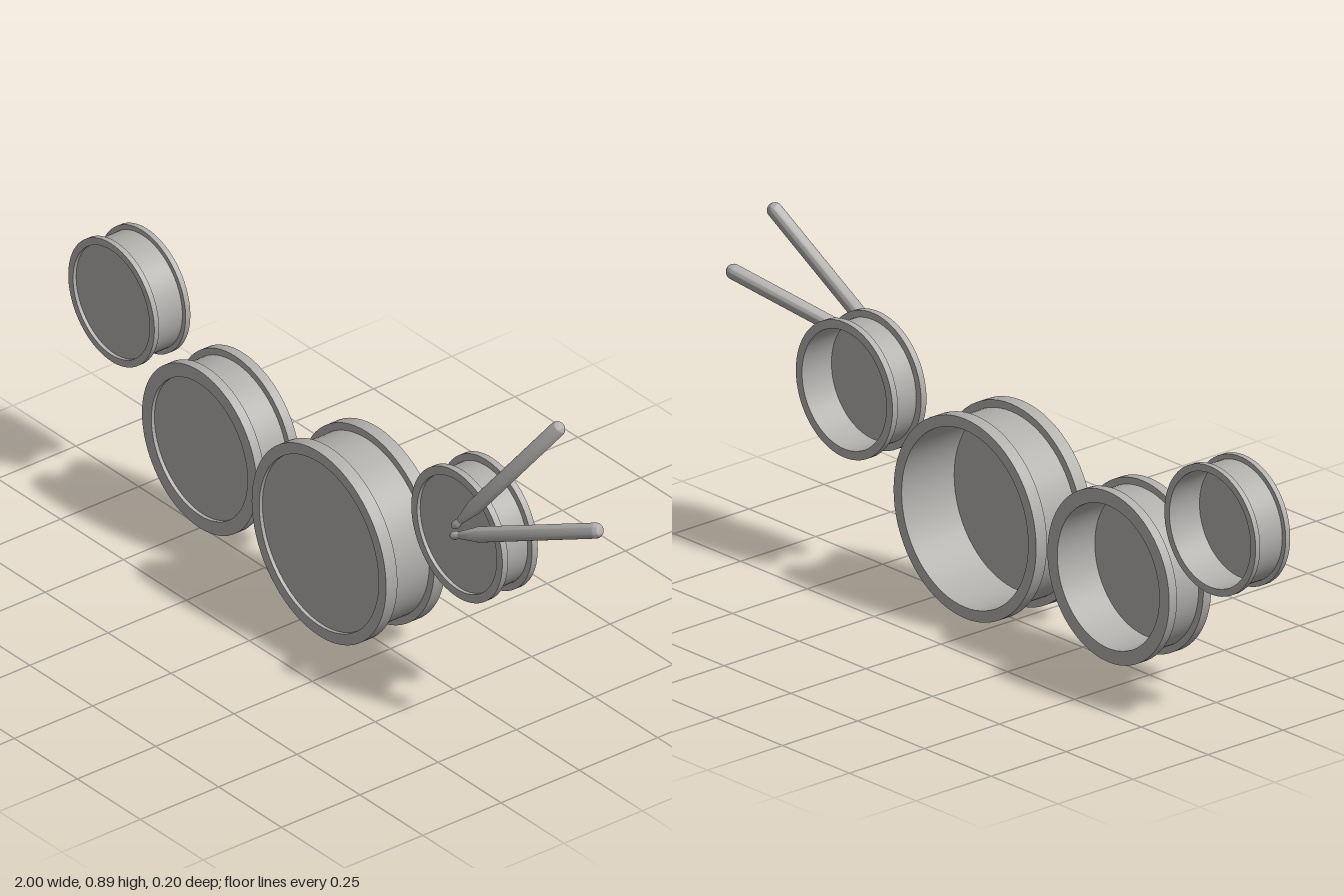
import * as THREE from 'three';
import { toCreasedNormals } from 'three/addons/utils/BufferGeometryUtils.js';

const grey = new THREE.MeshStandardMaterial({ color: 0xb2b0ad });
grey.name = 'plain grey';

// Revolve [radius, height] pairs about y, keeping hard edges sharp
function revolve(pairs, segments) {
  const points = pairs.map(([r, h]) => new THREE.Vector2(r, h));
  return toCreasedNormals(new THREE.LatheGeometry(points, segments), 0.6);
}

// A drum facing +z: hooped shell, open at the back, with a skin just inside the front
function makeDrum({ name, x, y, rim, shell, inner, front, hoop }) {
  const back = -0.09;
  const skin = front - 0.01;
  const geometry = revolve([
    [0, skin - 0.005], [inner, skin - 0.005], [inner, back],
    [rim, back], [rim, back + hoop],
    [shell, back + hoop], [shell, front - hoop],
    [rim, front - hoop], [rim, front],
    [inner, front], [inner, skin], [0, skin],
  ], 72);
  geometry.rotateX(Math.PI / 2);
  const mesh = new THREE.Mesh(geometry, grey);
  mesh.name = name;
  mesh.position.set(x, y, 0);
  return mesh;
}

// A drumstick from its beaded tip to the centre of its rounded butt
function makeStick(name, tip, butt) {
  const a = new THREE.Vector3(...tip);
  const axis = new THREE.Vector3(...butt).sub(a);
  const length = axis.length();
  const r = 0.02;
  const profile = [
    [0, -0.012], [0.007, -0.009], [0.011, -0.002], [0.011, 0.006],
    [0.008, 0.016], [0.01, 0.02], [r, 0.075],
  ];
  for (let i = 0; i <= 8; i++) {
    const t = (i / 8) * Math.PI / 2;
    profile.push([r * Math.cos(t), length + r * Math.sin(t)]);
  }
  const mesh = new THREE.Mesh(revolve(profile, 28), grey);
  mesh.name = name;
  mesh.position.copy(a);
  mesh.quaternion.setFromUnitVectors(new THREE.Vector3(0, 1, 0), axis.normalize());
  return mesh;
}

export function createModel() {
  const group = new THREE.Group();
  group.name = 'drumSet';

  const drums = [
    { name: 'smallDrumRight', x: -0.828, y: 0.511, rim: 0.171, shell: 0.158, inner: 0.152, front: 0.025, hoop: 0.015 },
    { name: 'mediumDrum', x: -0.447, y: 0.273, rim: 0.228, shell: 0.21, inner: 0.191, front: 0.05, hoop: 0.026 },
    { name: 'largeDrum', x: 0.09, y: 0.27, rim: 0.267, shell: 0.247, inner: 0.237, front: 0.1, hoop: 0.036 },
    { name: 'smallDrumLeft', x: 0.542, y: 0.481, rim: 0.181, shell: 0.163, inner: 0.158, front: 0.023, hoop: 0.018 },
  ];
  for (const drum of drums) group.add(makeDrum(drum));

  // Pair of sticks resting in front of the left drum
  group.add(makeStick('upperStick', [0.605, 0.56, 0.078], [0.815, 0.878, -0.078]));
  group.add(makeStick('lowerStick', [0.6, 0.527, 0.078], [0.978, 0.663, -0.07]));

  return group;
}
